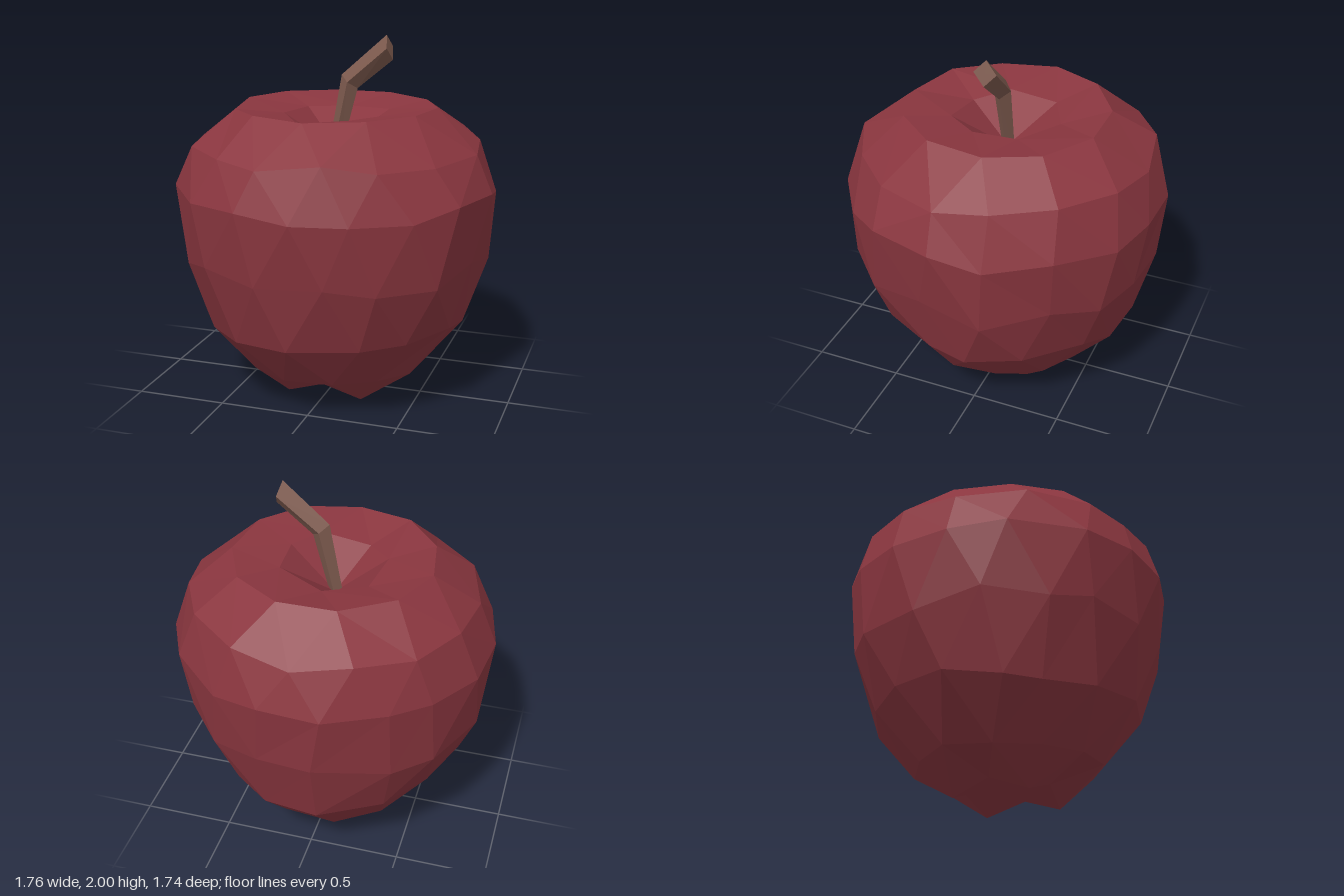
import * as THREE from 'three';

// Small seeded generator, returns -1..1
let seed = 7;
const jitter = () => {
  seed = (seed * 16807) % 2147483647;
  return (seed / 2147483647) * 2 - 1;
};

// Stitches rings (bottom to top, counter-clockwise from above) of any point counts
function loft(rings) {
  const pos = [];
  const tri = (...pts) => pts.forEach((p) => pos.push(p.x, p.y, p.z));
  for (let k = 0; k + 1 < rings.length; k++) {
    const A = rings[k], B = rings[k + 1];
    const n = A.pts.length, m = B.pts.length;
    let i = 0, j = 0;
    while (i < n || j < m) {
      const a = A.pts[i % n], b = B.pts[j % m];
      const nextA = (i + 1 + A.phase) / n, nextB = (j + 1 + B.phase) / m;
      if (j >= m || (i < n && nextA <= nextB)) {
        i++;
        if (n > 1) tri(a, A.pts[i % n], b);
      } else {
        j++;
        if (m > 1) tri(a, B.pts[j % m], b);
      }
    }
  }
  const g = new THREE.BufferGeometry();
  g.setAttribute('position', new THREE.Float32BufferAttribute(pos, 3));
  g.computeVertexNormals();
  return g;
}

// One faceted ring of the fruit
function fruitRing([n, r, y, phase, wobble]) {
  const pts = [];
  for (let i = 0; i < n; i++) {
    const a = ((i + phase + jitter() * 0.2 * wobble) / n) * Math.PI * 2;
    const rr = r + jitter() * 0.016 * wobble;
    pts.push(new THREE.Vector3(Math.sin(a) * rr, y + jitter() * 0.04 * wobble, Math.cos(a) * rr));
  }
  return { pts, phase };
}

function mesh(name, geometry, color) {
  const m = new THREE.Mesh(geometry, new THREE.MeshStandardMaterial({
    color, flatShading: true, roughness: 0.9, side: THREE.DoubleSide,
  }));
  m.name = name;
  return m;
}

export function createModel() {
  seed = 7;
  const group = new THREE.Group();
  group.name = 'apple';

  // Fruit: points per ring, radius, height, phase, irregularity
  const rings = [
    [1, 0, 0.15, 0, 0],
    [8, 0.3, 0, 0, 0],
    [12, 0.5, 0.17, 0.5, 0.6],
    [15, 0.72, 0.45, 0, 1],
    [16, 0.835, 0.81, 0.5, 1],
    [17, 0.875, 1.17, 0, 0.8],
    [15, 0.79, 1.42, 0.5, 0.7],
    [11, 0.55, 1.61, 0, 0.2],
    [7, 0.29, 1.56, 0.5, 0.8],
    [1, 0, 1.38, 0, 0],
  ].map(fruitRing);

  // Underside: four feet on the diagonals with notches between them
  rings[1].pts.forEach((p, i) => {
    if (i % 2 === 0) p.multiplyScalar(0.8).setY(0.075);
  });
  group.add(mesh('fruit', loft(rings), 0x8a363f));

  // Stem: diamond section given by centre (x, y), in-plane half axis (ux, uy), half depth
  const stem = [
    [-0.01, 1.36, 0, 0, 0],
    [-0.01, 1.36, -0.035, 0.008, 0.035],
    [0.075, 1.745, -0.045, 0.035, 0.048],
    [0.297, 1.935, -0.018, 0.065, 0.062],
    [0.297, 1.935, 0, 0, 0],
  ].map(([x, y, ux, uy, w]) => ({
    phase: 0,
    pts: w === 0 ? [new THREE.Vector3(x, y, 0)] : [
      new THREE.Vector3(x + ux, y + uy, 0),
      new THREE.Vector3(x, y, w),
      new THREE.Vector3(x - ux, y - uy, 0),
      new THREE.Vector3(x, y, -w),
    ],
  }));
  group.add(mesh('stem', loft(stem), 0x7d5a4e));

  return group;
}
